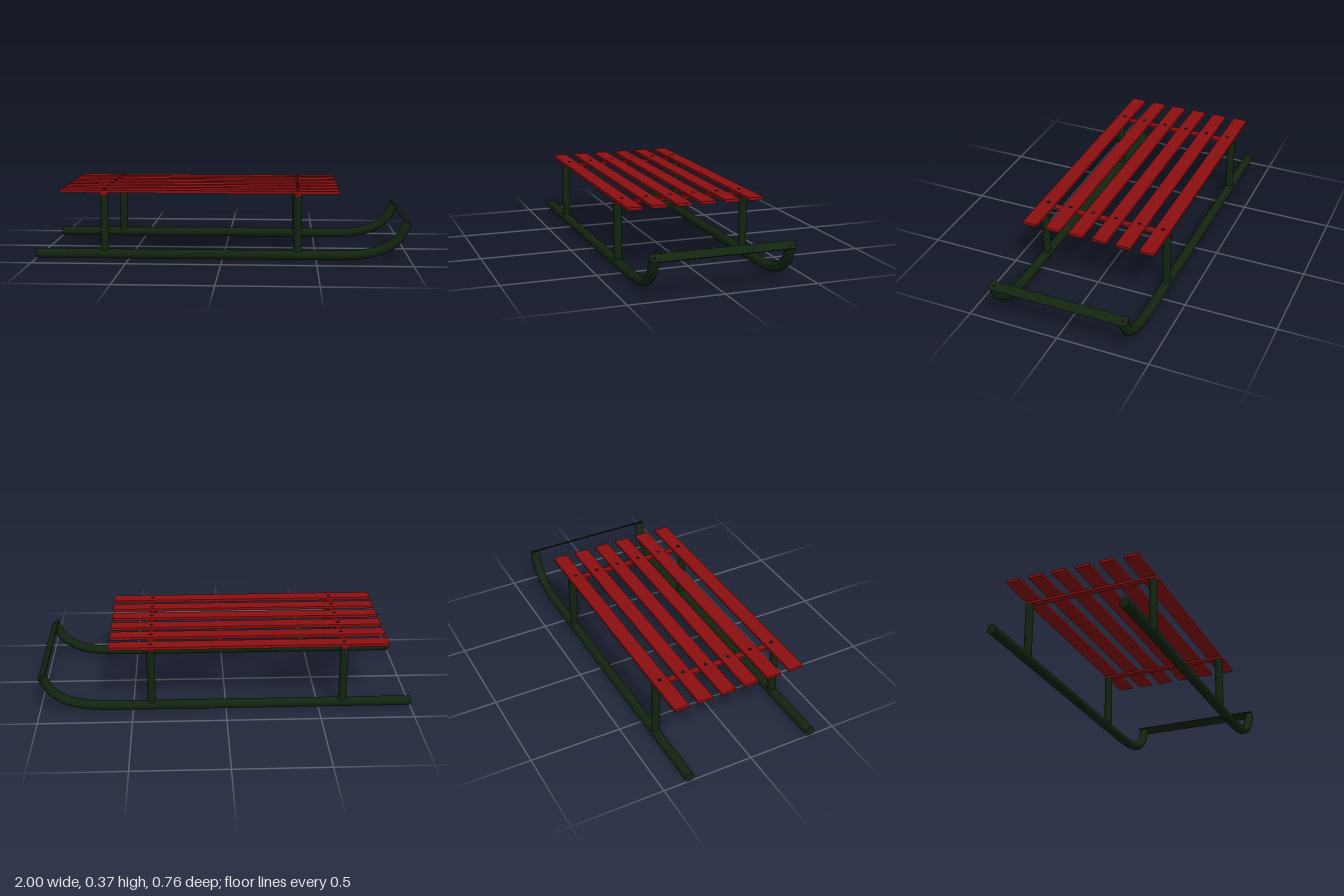
import * as THREE from 'three';

const green = new THREE.MeshStandardMaterial({ color: 0x12240f });
const red = new THREE.MeshStandardMaterial({ color: 0x8b0f10 });
const dark = new THREE.MeshStandardMaterial({ color: 0x141010 });

const RUNNER_Z = 0.356, RUNNER_R = 0.026;
const LEG_X = [-0.63, 0.4];
const SLAT_Z = [-0.33, -0.198, -0.066, 0.066, 0.198, 0.33];

function add(parent, name, geometry, material, x = 0, y = 0, z = 0) {
  const mesh = new THREE.Mesh(geometry, material);
  mesh.name = name;
  mesh.position.set(x, y, z);
  parent.add(mesh);
  return mesh;
}

// Straight run followed by the upturned nose
function runnerPath() {
  const path = new THREE.CurvePath();
  const nose = [[0.62, 0.027], [0.75, 0.036], [0.86, 0.066], [0.93, 0.116], [0.963, 0.17], [0.978, 0.205]];
  path.add(new THREE.LineCurve3(new THREE.Vector3(-1, 0.026, 0), new THREE.Vector3(0.62, 0.027, 0)));
  path.add(new THREE.CatmullRomCurve3(nose.map(([x, y]) => new THREE.Vector3(x, y, 0))));
  return path;
}

// Thin strap with clipped corners, lying in XY and centred
function strapGeometry(width, length, thickness, clip) {
  const w = width / 2, l = length / 2;
  const shape = new THREE.Shape([
    [-w, -l], [w - clip, -l], [w, -l + clip], [w, l - clip], [w - clip, l], [-w, l],
  ].map(([x, y]) => new THREE.Vector2(x, y)));
  const geometry = new THREE.ExtrudeGeometry(shape, { depth: thickness, bevelEnabled: false });
  return geometry.translate(0, 0, -thickness / 2);
}

export function createModel() {
  const sled = new THREE.Group();
  sled.name = 'sled';

  const path = runnerPath();
  const runnerGeo = new THREE.TubeGeometry(path, 72, RUNNER_R, 20, false);
  const capGeo = new THREE.CircleGeometry(RUNNER_R, 20);
  const legGeo = new THREE.CylinderGeometry(0.022, 0.022, 0.315, 20);

  for (const side of [-1, 1]) {
    const z = side * RUNNER_Z;
    add(sled, 'runner', runnerGeo, green, 0, 0, z);
    // Closed ends of the runner
    for (const t of [0, 1]) {
      const p = path.getPointAt(t);
      const d = path.getTangentAt(t).multiplyScalar(t ? 1 : -1);
      const cap = add(sled, 'runnerCap', capGeo, green, p.x, p.y, z);
      cap.quaternion.setFromUnitVectors(new THREE.Vector3(0, 0, 1), d);
    }
    for (const x of LEG_X) add(sled, 'leg', legGeo, green, x, 0.1875, side * 0.354);
  }

  // Flat strap joining the two runner tips
  const strap = new THREE.Group();
  strap.name = 'frontStrap';
  strap.position.set(0.977, 0.207, 0);
  strap.rotation.z = -0.67;
  sled.add(strap);
  const plate = add(strap, 'strapPlate', strapGeometry(0.05, 0.76, 0.006, 0.01), green);
  plate.rotation.x = -Math.PI / 2;
  const boltGeo = new THREE.CylinderGeometry(0.007, 0.007, 0.002, 12);
  for (const side of [-1, 1]) add(strap, 'strapBolt', boltGeo, dark, 0, 0.0035, side * RUNNER_Z);

  // Cross rails on the legs
  const railGeo = new THREE.BoxGeometry(0.036, 0.013, 0.744);
  for (const x of LEG_X) add(sled, 'crossRail', railGeo, red, x, 0.3495, 0);

  // Seat slats with a rivet over each rail
  const slatGeo = new THREE.BoxGeometry(1.486, 0.015, 0.081);
  const rivetGeo = new THREE.CylinderGeometry(0.01, 0.01, 0.004, 16);
  for (const z of SLAT_Z) {
    add(sled, 'slat', slatGeo, red, -0.123, 0.3635, z);
    for (const x of LEG_X) add(sled, 'rivet', rivetGeo, dark, x, 0.3705, z);
  }
  return sled;
}
